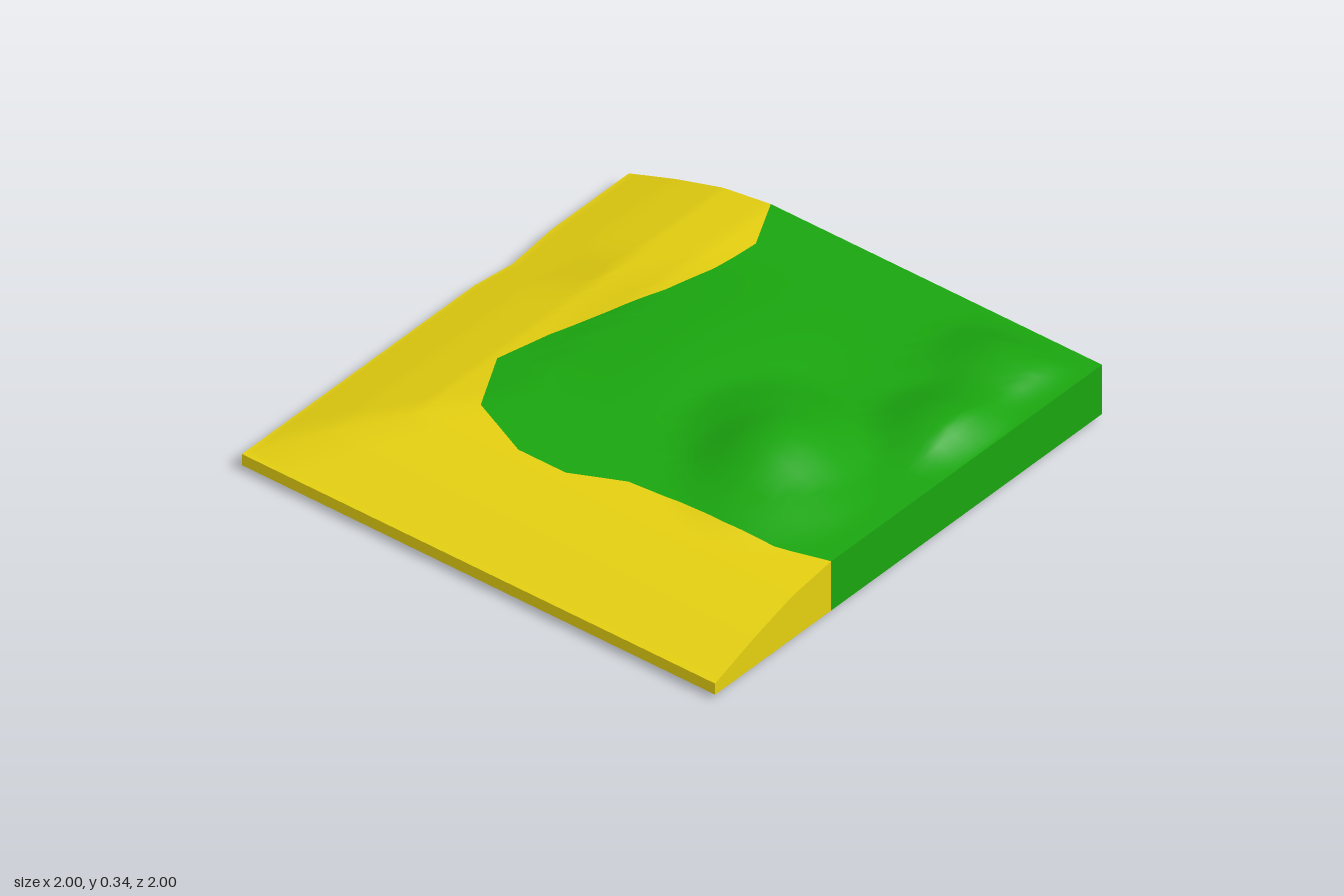
import * as THREE from 'three';

const BASE = 0.025;
const clamp = THREE.MathUtils.clamp;
const lerp = THREE.MathUtils.lerp;

// Hills on the grass: x, z, height, radius
const HILLS = [
  [0, 0.45, 0.09, 0.36], [-0.2, 0.6, 0.06, 0.36],
  [0.4, 0.84, 0.07, 0.3], [0.8, 0.75, 0.055, 0.3], [0.25, -0.05, 0.042, 0.55],
];
const SLOPE = [0.07, 0.14, 0.198, 0.225]; // rise from the shore, every 0.2

// Small dent in the back shore
const dent = (x, z) =>
  0.025 * clamp(1 - Math.abs(x - 0.4) / 0.2, 0, 1) * clamp((-0.6 - z) / 0.2, 0, 1);

function topHeight(x, z) {
  const d = clamp((Math.min(x, z) + 1) / 0.2, 0, 2.9999);
  const k = Math.floor(d);
  let h = lerp(SLOPE[k], SLOPE[k + 1], d - k);
  const fade = clamp((1 - x) / 0.15, 0, 1) * clamp((1 - z) / 0.12, 0, 1);
  for (const [hx, hz, a, r] of HILLS) {
    const q = ((x - hx) ** 2 + (z - hz) ** 2) / (r * r);
    if (q < 1) h += a * fade * (1 - q) ** 2;
  }
  return h - dent(x, z);
}
const bottomHeight = (x, z) => BASE - dent(x, z);

// Lines between grass and sand on top and underneath, and the outer edge they pair with
const TOP_LINE = [[-0.4, 1], [-0.45, 0.8], [-0.46, 0.6], [-0.455, 0.4], [-0.47, 0.2],
  [-0.55, 0], [-0.55, -0.2], [-0.45, -0.44], [-0.2, -0.575], [0, -0.52], [0.2, -0.43],
  [0.4, -0.355], [0.6, -0.315], [0.8, -0.3], [1, -0.4]];
const BOTTOM_LINE = [[-0.4, 1], [-0.47, 0.8], [-0.52, 0.6], [-0.5, 0.4], [-0.475, 0.2],
  [-0.45, 0], [-0.425, -0.2], [-0.4, -0.4]];
for (let i = 1; i <= 7; i++) BOTTOM_LINE.push([-0.4 + i * 0.2, -0.4]);
const OUTER = TOP_LINE.map((p, i) =>
  i < 7 ? [-1, 1 - i * 0.2] : i === 7 ? [-1, -1] : [-0.2 + (i - 8) * 0.2, -1]);
const CORNER = TOP_LINE.map(() => [1, 1]);

const SUB = 4, N = 14 * SUB, M = 20;
const mix = (a, b, t) => [lerp(a[0], b[0], t), lerp(a[1], b[1], t)];
function along(line, i) {
  const k = Math.min(Math.floor(i / SUB), 13);
  return mix(line[k], line[k + 1], i / SUB - k);
}

// Sheet between an inner and an outer line, following a height rule
function sheet(inner, outer, height, up) {
  const pos = [], nor = [], idx = [], e = 0.02, s = up ? 1 : -1;
  for (let j = 0; j <= M; j++) {
    for (let i = 0; i <= N; i++) {
      const [x, z] = mix(along(inner, i), along(outer, i), j / M);
      pos.push(x, height(x, z), z);
      const n = new THREE.Vector3(
        (height(x - e, z) - height(x + e, z)) / (2 * e), 1,
        (height(x, z - e) - height(x, z + e)) / (2 * e)).normalize();
      nor.push(n.x * s, n.y * s, n.z * s);
      if (i < N && j < M) {
        const a = j * (N + 1) + i, b = a + 1, c = a + N + 1, d = c + 1;
        if (up) idx.push(a, b, c, b, d, c);
        else idx.push(a, c, b, b, c, d);
      }
    }
  }
  const g = new THREE.BufferGeometry();
  g.setAttribute('position', new THREE.Float32BufferAttribute(pos, 3));
  g.setAttribute('normal', new THREE.Float32BufferAttribute(nor, 3));
  g.setIndex(idx);
  return g;
}

// Upright wall under a path of corner points
function wall(path) {
  const pos = [];
  for (let k = 0; k + 1 < path.length; k++) {
    for (let i = 0; i < M; i++) {
      const [x, z] = mix(path[k], path[k + 1], i / M);
      const [u, w] = mix(path[k], path[k + 1], (i + 1) / M);
      const a = [x, bottomHeight(x, z), z], b = [x, topHeight(x, z), z];
      const c = [u, bottomHeight(u, w), w], d = [u, topHeight(u, w), w];
      pos.push(...a, ...b, ...c, ...c, ...b, ...d);
    }
  }
  const g = new THREE.BufferGeometry();
  g.setAttribute('position', new THREE.Float32BufferAttribute(pos, 3));
  g.computeVertexNormals();
  return g;
}

export function createModel() {
  const model = new THREE.Group();
  model.name = 'terrainTile';

  function region(name, color, parts) {
    const group = new THREE.Group();
    group.name = name;
    const material = new THREE.MeshStandardMaterial({ color });
    for (const [part, geometry] of Object.entries(parts)) {
      const mesh = new THREE.Mesh(geometry, material);
      mesh.name = name + part;
      group.add(mesh);
    }
    model.add(group);
  }

  // Hilly grass corner
  region('grass', 0x1aa50f, {
    Top: sheet(CORNER, TOP_LINE, topHeight, true),
    Underside: sheet(CORNER, BOTTOM_LINE, bottomHeight, false),
    Walls: wall([[1, -0.4], [1, 1], [-0.4, 1]]),
  });

  // Sand sloping down to two sides
  region('sand', 0xe4cf10, {
    Top: sheet(TOP_LINE, OUTER, topHeight, true),
    Underside: sheet(BOTTOM_LINE, OUTER, bottomHeight, false),
    Walls: wall([[-0.4, 1], [-1, 1], [-1, -1], [1, -1], [1, -0.4]]),
  });

  return model;
}
